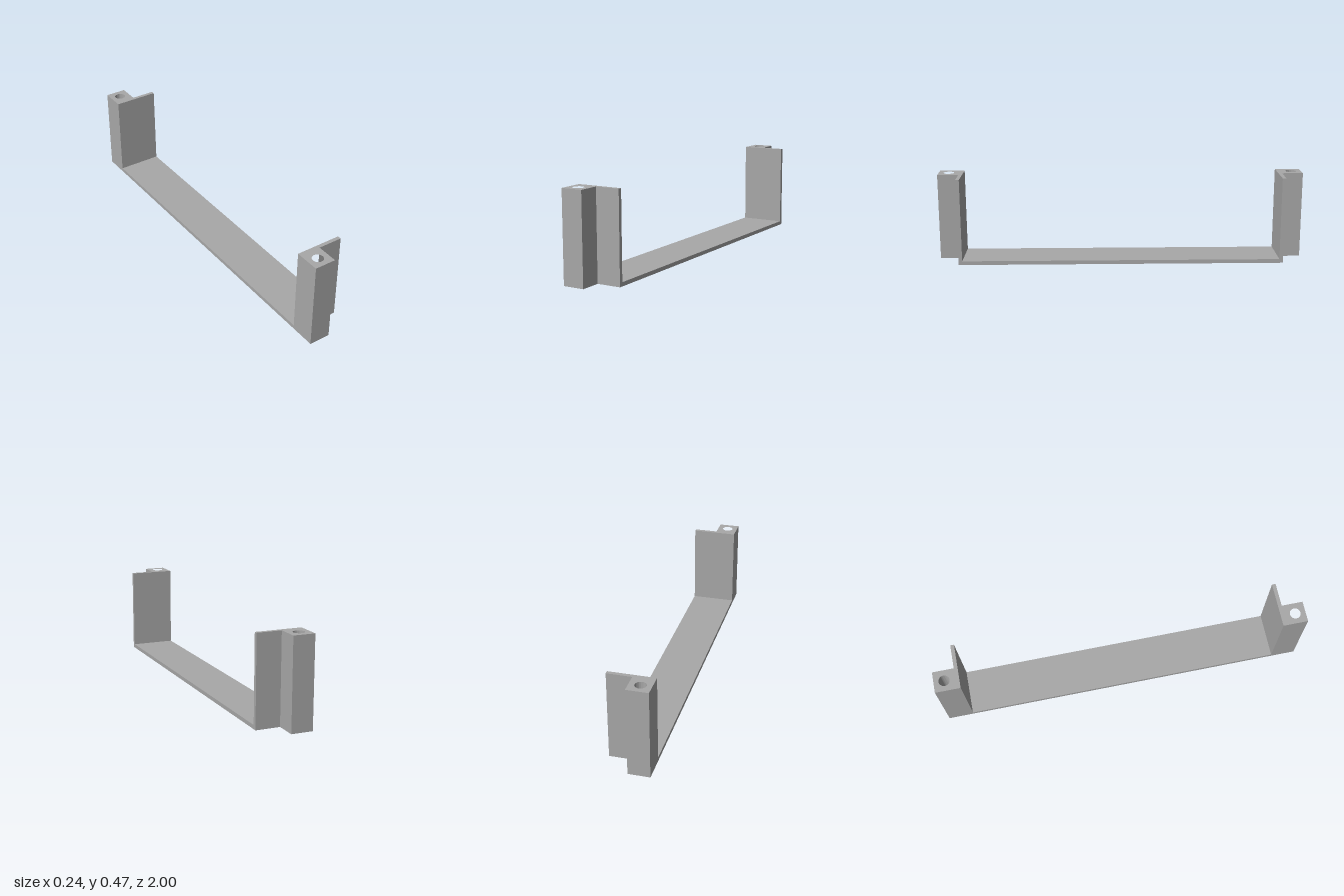
import * as THREE from 'three';
import { toCreasedNormals } from 'three/addons/utils/BufferGeometryUtils.js';

const HALF_W = 0.122, HEIGHT = 0.473, FLOOR = 0.021;
const WALL_IN = 0.865, WALL_OUT = 0.885, BLOCK_X = -0.008;
const HOLE_X = -0.066, HOLE_Z = 0.944, HOLE_R = 0.029;

// Upright end: thin wall plus bored screw block, extruded from its L-shaped footprint
function endGeometry(side) {
  const outline = [
    [-HALF_W, WALL_IN], [HALF_W, WALL_IN], [HALF_W, WALL_OUT],
    [BLOCK_X, WALL_OUT], [BLOCK_X, 1], [-HALF_W, 1],
  ].map(([x, z]) => new THREE.Vector2(x, -z * side));
  const shape = new THREE.Shape(outline);
  const hole = new THREE.Path();
  hole.absarc(HOLE_X, -HOLE_Z * side, HOLE_R, 0, Math.PI * 2, true);
  shape.holes.push(hole);
  const geo = new THREE.ExtrudeGeometry(shape, { depth: HEIGHT, bevelEnabled: false, curveSegments: 32 });
  geo.rotateX(-Math.PI / 2);
  return toCreasedNormals(geo, Math.PI / 6);
}

export function createModel() {
  const model = new THREE.Group();
  model.name = 'bracket';
  const grey = new THREE.MeshStandardMaterial({ color: 0xa8a8a8 });
  grey.name = 'grey';

  // Flat strap joining the two ends
  const strap = new THREE.Mesh(new THREE.BoxGeometry(HALF_W * 2, FLOOR, WALL_IN * 2), grey);
  strap.position.y = FLOOR / 2;
  strap.name = 'strap';
  model.add(strap);

  // Front and back ends
  for (const [name, side] of [['frontEnd', 1], ['backEnd', -1]]) {
    const end = new THREE.Mesh(endGeometry(side), grey);
    end.name = name;
    model.add(end);
  }
  return model;
}
